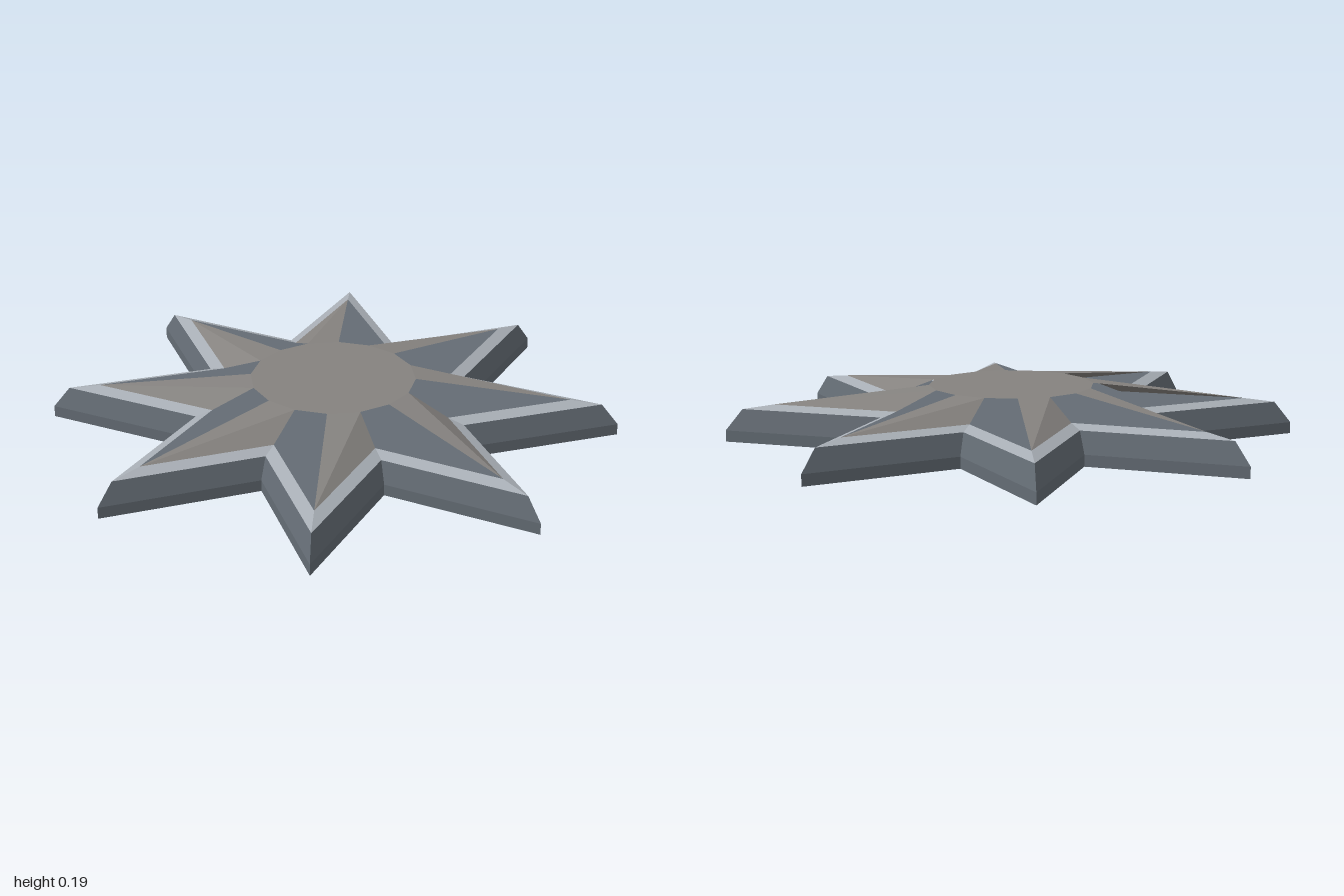
import * as THREE from 'three';

const N = 16; // alternating tips and valleys
const VALLEY = 0.53; // valley radius relative to tip radius

// A ring of 16 points; even points are tips, odd points are valleys.
function ring(tip, y, valley = tip * VALLEY) {
  return Array.from({ length: N }, (_, k) => {
    const a = (k * Math.PI * 2) / N;
    const r = k % 2 ? valley : tip;
    return new THREE.Vector3(r * Math.cos(a), y, r * Math.sin(a));
  });
}

// Skins consecutive rings with flat faces, outward when listed bottom to top.
function loft(rings, start = 0, step = 1) {
  const points = [];
  const triangle = (a, b, c) => {
    const area = b.clone().sub(a).cross(c.clone().sub(a)).length();
    if (area > 1e-8) points.push(a, b, c);
  };
  for (let j = 0; j < rings.length - 1; j++) {
    const lower = rings[j];
    const upper = rings[j + 1];
    for (let i = start; i < N; i += step) {
      const n = (i + 1) % N;
      triangle(lower[i], upper[i], lower[n]);
      triangle(lower[n], upper[i], upper[n]);
    }
  }
  const geometry = new THREE.BufferGeometry().setFromPoints(points);
  geometry.computeVertexNormals();
  return geometry;
}

export function createModel() {
  const slate = new THREE.MeshStandardMaterial({ name: 'slate', color: 0x646c74, flatShading: true });
  const steel = new THREE.MeshStandardMaterial({ name: 'paleSteel', color: 0xa8aeb5, flatShading: true });
  const stone = new THREE.MeshStandardMaterial({
    name: 'warmGrey', color: 0x85827f, flatShading: true, side: THREE.DoubleSide,
  });

  const model = new THREE.Group();
  model.name = 'star';
  const add = (name, geometry, material) => {
    const mesh = new THREE.Mesh(geometry, material);
    mesh.name = name;
    model.add(mesh);
  };

  // Star base: underside, upright wall and bevel
  add('base', loft([ring(0, 0), ring(1, 0), ring(1, 0.04), ring(0.94, 0.115)]), slate);

  // Gently rising border
  add('rim', loft([ring(0.94, 0.115), ring(0.83, 0.13)]), steel);

  // Flat floor seen between the raised blades
  add('floor', loft([ring(0.83, 0.13), ring(0, 0.13)]), slate);

  // One sloping blade on half of each point, open on the other half
  const hub = ring(0.29, 0.192, 0.29);
  add('blades', loft([ring(0.83, 0.13), hub], 1, 2), stone);

  // Sixteen-sided raised centre
  add('centrePlate', loft([hub, ring(0, 0.192)]), stone);

  return model;
}
